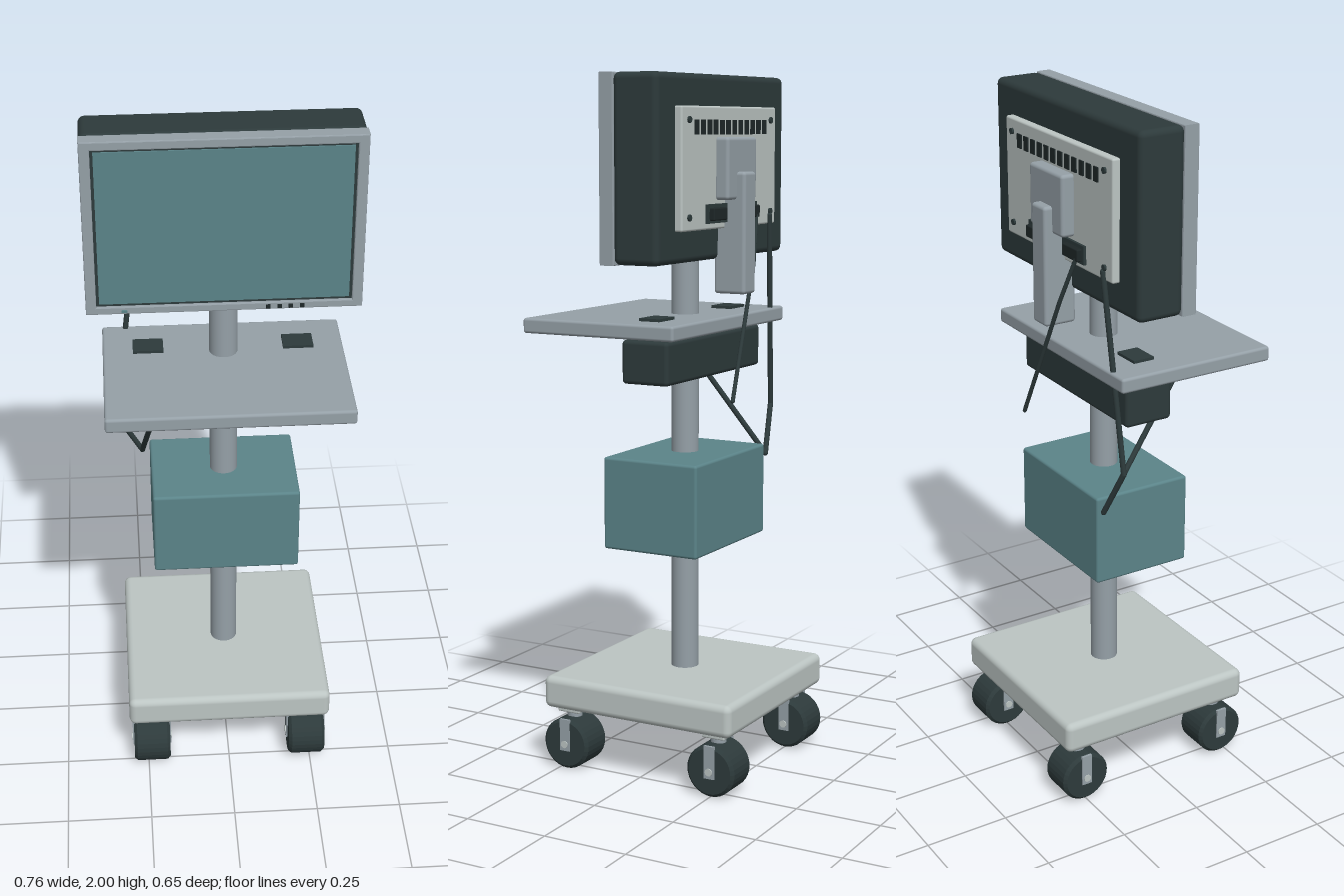
import * as THREE from 'three';
import { RoundedBoxGeometry } from 'three/addons/geometries/RoundedBoxGeometry.js';

const mat = (name, color) => {
  const m = new THREE.MeshStandardMaterial({ color });
  m.name = name;
  return m;
};

export function createModel() {
  const root = new THREE.Group();
  root.name = 'monitorCart';
  const light = mat('lightGrey', 0xbcc5c3);
  const grey = mat('steelGrey', 0x95a0a7);
  const teal = mat('teal', 0x5b8489);
  const dark = mat('darkGrey', 0x2d3a3b);
  const black = mat('nearBlack', 0x1e2728);

  const add = (parent, name, geometry, material, x = 0, y = 0, z = 0) => {
    const mesh = new THREE.Mesh(geometry, material);
    mesh.name = name;
    mesh.position.set(x, y, z);
    parent.add(mesh);
    return mesh;
  };
  // Box given by its extents; r rounds the edges
  const box = (parent, name, material, [x0, x1], [y0, y1], [z0, z1], r = 0) => {
    const s = [x1 - x0, y1 - y0, z1 - z0];
    const g = r ? new RoundedBoxGeometry(...s, 3, r) : new THREE.BoxGeometry(...s);
    return add(parent, name, g, material, (x0 + x1) / 2, (y0 + y1) / 2, (z0 + z1) / 2);
  };
  const group = (name) => {
    const g = new THREE.Group();
    g.name = name;
    root.add(g);
    return g;
  };

  // Stand: base, pole, equipment box, tray and the unit hung under it
  box(root, 'base', light, [-0.305, 0.305], [0.18, 0.275], [-0.318, 0.295], 0.02);
  add(root, 'pole', new THREE.CylinderGeometry(0.04, 0.04, 1.25, 32), grey, 0, 0.875, -0.01);
  box(root, 'equipmentBox', teal, [-0.213, 0.213], [0.655, 0.923], [-0.163, 0.14], 0.008);
  box(root, 'tray', grey, [-0.34, 0.34], [1.282, 1.325], [-0.16, 0.325], 0.008);
  box(root, 'underTrayUnit', dark, [-0.282, 0.282], [1.15, 1.273], [-0.11, 0.037], 0.012);
  box(root, 'underTrayMount', dark, [-0.2, 0.2], [1.265, 1.285], [-0.09, 0.02]);
  for (const s of [-1, 1]) {
    box(root, 'trayPad', dark, [s * 0.212 - 0.043, s * 0.212 + 0.043], [1.324, 1.333], [-0.07, -0.005]);
  }

  // Casters
  const tread = new THREE.LatheGeometry(
    [[0, -0.055], [0.066, -0.055], [0.075, -0.046], [0.075, 0.046], [0.066, 0.055], [0, 0.055]]
      .map(([r, h]) => new THREE.Vector2(r, h)), 32);
  tread.rotateZ(Math.PI / 2);
  const wheelGeometry = tread.toNonIndexed();
  wheelGeometry.computeVertexNormals();
  for (const x of [-0.238, 0.238]) {
    for (const z of [-0.25, 0.228]) {
      const caster = group('caster');
      caster.position.set(x, 0, z);
      add(caster, 'wheel', wheelGeometry, dark, 0, 0.075, 0);
      add(caster, 'stem', new THREE.CylinderGeometry(0.022, 0.022, 0.04, 20), grey, 0, 0.168, 0);
      box(caster, 'swivelPlate', light, [-0.036, 0.036], [0.165, 0.182], [-0.036, 0.036], 0.004);
      for (const s of [-1, 1]) {
        box(caster, 'forkPlate', grey, [s * 0.055 - 0.004, s * 0.055 + 0.004], [0.055, 0.15], [-0.016, 0.016]);
        const axle = add(caster, 'axleCap', new THREE.CylinderGeometry(0.011, 0.011, 0.006, 16), light, s * 0.059, 0.075, 0);
        axle.rotation.z = Math.PI / 2;
      }
    }
  }

  // Monitor housing and front frame
  const monitor = group('monitor');
  box(monitor, 'housing', dark, [-0.38, 0.38], [1.487, 2], [-0.135, 0.004], 0.018);
  const rect = (T, x, y0, y1) => {
    const p = new T();
    p.moveTo(-x, y0);
    p.lineTo(x, y0);
    p.lineTo(x, y1);
    p.lineTo(-x, y1);
    p.closePath();
    return p;
  };
  const frame = rect(THREE.Shape, 0.377, 1.488, 1.997);
  frame.holes.push(rect(THREE.Path, 0.354, 1.504, 1.978));
  add(monitor, 'bezel', new THREE.ExtrudeGeometry(frame, {
    depth: 0.039, bevelThickness: 0.003, bevelSize: 0.003, bevelSegments: 2,
  }), grey, 0, 0, 0.003);
  box(monitor, 'screenTrim', dark, [-0.353, 0.353], [1.505, 1.977], [0, 0.036]);
  box(monitor, 'screen', teal, [-0.343, 0.343], [1.515, 1.968], [0.033, 0.04]);
  for (let i = 0; i < 4; i++) {
    const x = 0.12 + i * 0.031;
    box(monitor, 'button', black, [x - 0.006, x + 0.006], [1.491, 1.501], [0.042, 0.051]);
  }
  box(monitor, 'powerLight', teal, [-0.283, -0.267], [1.492, 1.498], [0.042, 0.05]);

  // Rear panel with vents, screws and sockets
  box(monitor, 'rearPanel', light, [-0.283, 0.283], [1.575, 1.912], [-0.157, -0.13], 0.006);
  for (let i = 0; i < 12; i++) {
    const x = (i - 5.5) * 0.037;
    box(monitor, 'vent', black, [x - 0.011, x + 0.011], [1.835, 1.875], [-0.161, -0.154]);
  }
  for (const x of [-0.245, 0.245]) {
    for (const y of [1.612, 1.875]) {
      const screw = add(monitor, 'screw', new THREE.CylinderGeometry(0.009, 0.009, 0.008, 12), dark, x, y, -0.159);
      screw.rotation.x = Math.PI / 2;
    }
  }
  box(monitor, 'socketStrip', dark, [-0.15, 0.15], [1.592, 1.645], [-0.165, -0.15]);
  for (const s of [-1, 1]) {
    box(monitor, 'socket', black, [s * 0.1 - 0.04, s * 0.1 + 0.04], [1.6, 1.635], [-0.18, -0.16], 0.004);
  }

  // Mounting bracket and arm
  box(root, 'mountPlate', grey, [-0.088, 0.088], [1.655, 1.828], [-0.195, -0.15], 0.01);
  box(root, 'mountArm', grey, [-0.036, 0.036], [1.39, 1.732], [-0.22, -0.122], 0.01);

  // Cables as straight runs with round joints
  const cable = (name, radius, points) => {
    const g = group(name);
    const p = points.map((a) => new THREE.Vector3(...a));
    p.forEach((a, i) => {
      add(g, 'cableJoint', new THREE.SphereGeometry(radius, 12, 8), dark, a.x, a.y, a.z);
      if (!i) return;
      const d = a.clone().sub(p[i - 1]);
      const mid = a.clone().add(p[i - 1]).multiplyScalar(0.5);
      const run = add(g, 'cableRun', new THREE.CylinderGeometry(radius, radius, d.length(), 12), dark, mid.x, mid.y, mid.z);
      run.quaternion.setFromUnitVectors(new THREE.Vector3(0, 1, 0), d.normalize());
    });
  };
  cable('longCable', 0.008, [[-0.24, 1.6, -0.16], [-0.308, 1.03, -0.135], [-0.235, 0.89, -0.155], [-0.185, 1.265, 0.135]]);
  cable('shortCable', 0.006, [[-0.125, 1.605, -0.175], [-0.07, 1.47, -0.195], [0.098, 1.095, -0.217]]);
  return root;
}
